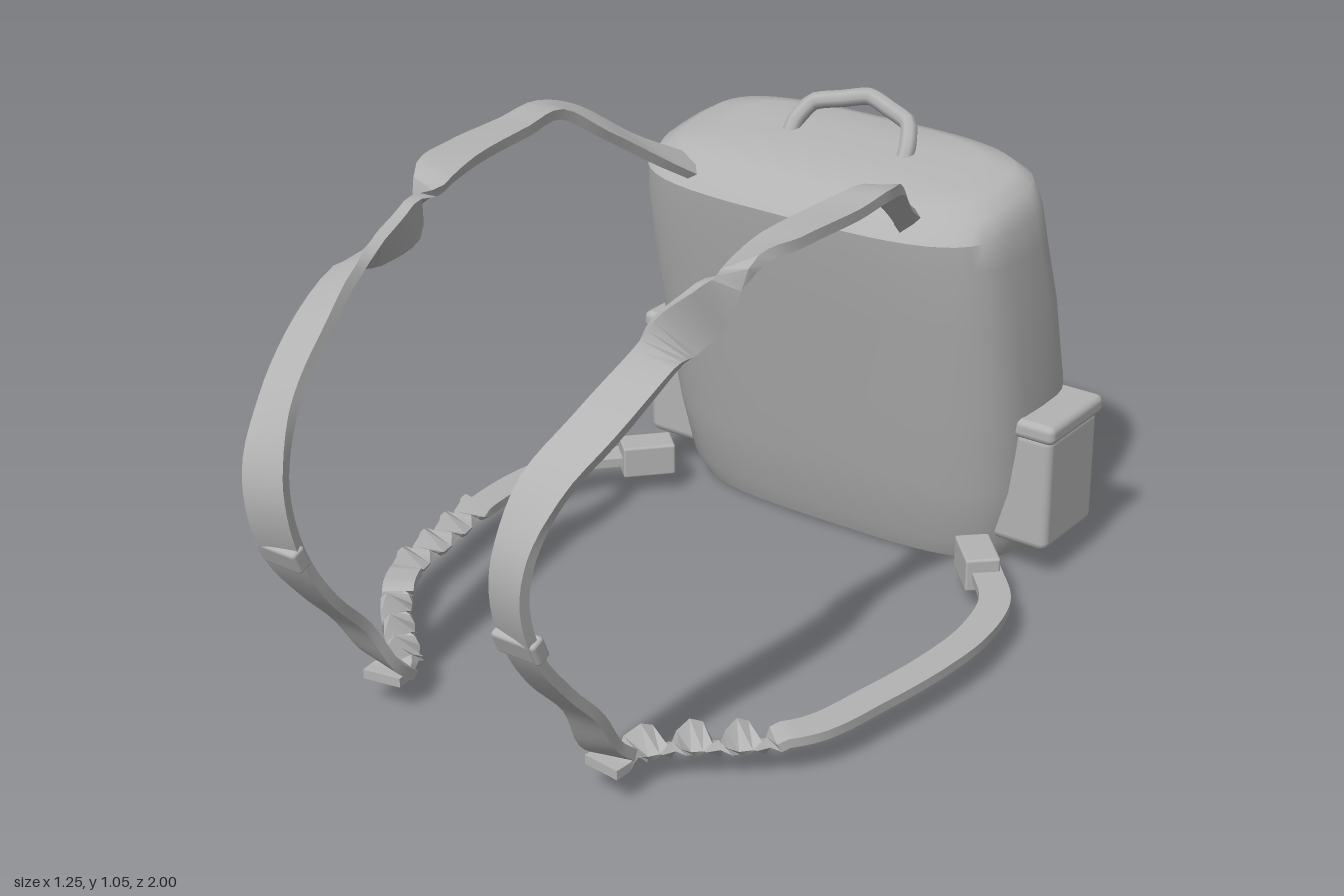
import * as THREE from 'three';
import { toCreasedNormals } from 'three/addons/utils/BufferGeometryUtils.js';
import { RoundedBoxGeometry } from 'three/addons/geometries/RoundedBoxGeometry.js';

const V = (x, y, z) => new THREE.Vector3(x, y, z);

// Skin a list of rings (counter-clockwise about the direction of travel), closed by fans
function loft(rings, crease) {
  const n = rings[0].length, pos = [], idx = [];
  rings.forEach(r => r.forEach(p => pos.push(p.x, p.y, p.z)));
  for (let i = 0; i < rings.length - 1; i++) {
    for (let j = 0; j < n; j++) {
      const k = (j + 1) % n, a = i * n + j, b = i * n + k, c = b + n, d = a + n;
      idx.push(a, b, c, a, c, d);
    }
  }
  [0, rings.length - 1].forEach((i, end) => {
    const m = V(0, 0, 0);
    rings[i].forEach(p => m.addScaledVector(p, 1 / n));
    const c = pos.length / 3;
    pos.push(m.x, m.y, m.z);
    for (let j = 0; j < n; j++) {
      const a = i * n + j, b = i * n + (j + 1) % n;
      if (end) idx.push(c, a, b); else idx.push(c, b, a);
    }
  });
  const g = new THREE.BufferGeometry();
  g.setAttribute('position', new THREE.Float32BufferAttribute(pos, 3));
  g.setIndex(idx);
  return toCreasedNormals(g, crease);
}

// Soft bag from rows of [y, zFront, zBack, halfWidth, tilt]
function bag(rows, power) {
  const soft = v => Math.sign(v) * Math.pow(Math.abs(v), 2 / power);
  return loft(rows.map(([y, zf, zb, w, tilt = 0]) => {
    const ring = [];
    for (let j = 0; j < 48; j++) {
      const a = j / 48 * Math.PI * 2, dz = (zf - zb) / 2 * soft(Math.cos(a));
      ring.push(V(w * soft(Math.sin(a)), y - tilt * dz, (zf + zb) / 2 + dz));
    }
    return ring;
  }), 0.65);
}

// Flat strap through points with a half-width vector at each
function ribbon(points, widths, thick) {
  const rings = points.map((p, i) => {
    const t = points[Math.min(i + 1, points.length - 1)].clone()
      .sub(points[Math.max(i - 1, 0)]).normalize();
    const w = widths[i];
    const n = t.clone().cross(w).normalize().multiplyScalar(thick / 2);
    return [[1, -1], [1, 1], [-1, 1], [-1, -1]].map(([a, b]) =>
      p.clone().addScaledVector(w, a).addScaledVector(n, b));
  });
  return loft(rings, 0.6);
}

export function createModel() {
  const model = new THREE.Group();
  model.name = 'backpack';
  const fabric = new THREE.MeshStandardMaterial({ color: 0xb3b3b3 });
  fabric.name = 'grey fabric';

  const add = (name, geometry, x = 0, y = 0, z = 0) => {
    const m = new THREE.Mesh(geometry, fabric);
    m.name = name;
    m.position.set(x, y, z);
    model.add(m);
    return m;
  };
  const box = (name, w, h, d, r, x, y, z) =>
    add(name, new RoundedBoxGeometry(w, h, d, 2, r), x, y, z);
  const tube = (name, pts, r) => {
    const c = new THREE.CatmullRomCurve3(pts.map(p => V(...p)), false, 'catmullrom', 0.3);
    return add(name, new THREE.TubeGeometry(c, 28, r, 8));
  };

  // Main bag, leaning towards the wearer
  add('body', bag([
    [0.005, -0.49, -0.80, 0.36], [0.012, -0.46, -0.83, 0.41], [0.06, -0.44, -0.845, 0.437],
    [0.2, -0.405, -0.84, 0.455], [0.4, -0.36, -0.80, 0.462], [0.6, -0.315, -0.755, 0.46],
    [0.75, -0.28, -0.715, 0.45], [0.82, -0.27, -0.70, 0.442, 0.06],
    [0.865, -0.30, -0.685, 0.42, 0.12], [0.888, -0.33, -0.66, 0.38, 0.15],
    [0.9, -0.37, -0.63, 0.3, 0.15], [0.905, -0.44, -0.56, 0.16, 0.15],
  ], 3.4));

  // Rear pocket
  add('rearPocket', bag([
    [0.058, -0.80, -0.91, 0.27], [0.065, -0.78, -0.945, 0.31], [0.1, -0.77, -0.968, 0.335],
    [0.2, -0.76, -0.972, 0.345], [0.32, -0.74, -0.955, 0.345], [0.4, -0.73, -0.93, 0.335],
    [0.44, -0.73, -0.905, 0.315, 0.1], [0.46, -0.74, -0.88, 0.28, 0.1],
    [0.465, -0.76, -0.85, 0.2, 0.1],
  ], 3.4));

  // Zips, pull tabs and patch
  tube('pocketZip', [[-0.29, 0.37, -0.9], [-0.15, 0.395, -0.926], [0, 0.405, -0.934],
    [0.15, 0.395, -0.926], [0.29, 0.37, -0.9]], 0.013);
  tube('mainZip', [[-0.26, 0.745, -0.69], [-0.14, 0.785, -0.706], [0, 0.8, -0.706],
    [0.14, 0.785, -0.706], [0.26, 0.745, -0.69]], 0.013);
  box('pocketZipPull', 0.045, 0.095, 0.038, 0.006, 0, 0.352, -0.968).rotation.x = 0.35;
  box('mainZipPull', 0.045, 0.085, 0.04, 0.006, 0.07, 0.74, -0.75).rotation.x = 0.35;
  box('patch', 0.17, 0.11, 0.06, 0.012, 0, 0.6, -0.768);

  // Carry handle
  tube('handle', [[-0.145, 0.89, -0.5], [-0.142, 0.92, -0.52], [-0.12, 0.955, -0.555],
    [-0.06, 0.967, -0.578], [0, 0.98, -0.592], [0.06, 0.967, -0.578],
    [0.12, 0.955, -0.555], [0.142, 0.92, -0.52], [0.145, 0.89, -0.5]], 0.019);

  // Shoulder strap: position, then half-width vector
  const shoulder = [
    [0.27, 0.84, -0.32, 0.03, 0.03, 0.01], [0.32, 0.9, -0.22, 0.03, 0.03, 0.02],
    [0.37, 0.985, -0.1, 0.03, 0.025, 0.01], [0.4, 1.035, 0, 0.033, 0.003, 0],
    [0.395, 1.033, 0.12, 0.04, 0, 0], [0.385, 1.03, 0.3, 0.042, 0.004, 0],
    [0.375, 1.015, 0.4, 0.035, 0.015, 0], [0.355, 0.955, 0.48, 0.012, -0.045, -0.02],
    [0.35, 0.93, 0.58, 0.025, -0.04, -0.02], [0.36, 0.91, 0.66, 0.038, -0.012, -0.01],
    [0.34, 0.83, 0.8, 0.045, -0.01, 0], [0.31, 0.75, 0.91, 0.044, -0.01, 0],
    [0.295, 0.65, 0.97, 0.043, 0, 0.008], [0.286, 0.56, 0.98, 0.043, 0, 0.01],
    [0.283, 0.44, 0.945, 0.044, 0, 0.008], [0.282, 0.33, 0.87, 0.044, 0, 0],
    [0.285, 0.23, 0.78, 0.042, 0, 0], [0.275, 0.13, 0.72, 0.046, 0.01, 0],
    [0.275, 0.085, 0.67, 0.045, 0.01, 0],
  ];

  [1, -1].forEach(s => {
    const side = s > 0 ? 'left' : 'right';
    const pick = o => new THREE.CatmullRomCurve3(
      shoulder.map(r => V(s * r[o], r[o + 1], r[o + 2])));
    const steps = (shoulder.length - 1) * 4;
    const along = o => { // uniform parameter keeps widths in step with positions
      const c = pick(o);
      return Array.from({ length: steps + 1 }, (_, i) => c.getPoint(i / steps));
    };
    add(side + 'ShoulderStrap', ribbon(along(0), along(3), 0.022));
    box(side + 'Buckle', 0.1, 0.052, 0.034, 0.008, s * 0.285, 0.457, 0.953).rotation.x = 0.4;

    // Lower strap, twisted and crinkled where it hangs slack
    const plan = s > 0
      ? [[0.275, 0.72], [0.285, 0.64], [0.35, 0.56], [0.44, 0.49], [0.525, 0.39], [0.565, 0.22],
        [0.59, 0.05], [0.593, -0.1], [0.56, -0.24], [0.49, -0.33], [0.41, -0.41]]
      : [[0.275, 0.72], [0.29, 0.64], [0.37, 0.56], [0.45, 0.48], [0.52, 0.37], [0.555, 0.2],
        [0.58, 0.08], [0.59, -0.1], [0.56, -0.24], [0.49, -0.33], [0.41, -0.41]];
    const curve = new THREE.CatmullRomCurve3(plan.map(([x, z]) => V(s * x, 0.085, z)));
    const pts = [], widths = [];
    for (let i = 0; i <= 72; i++) {
      const p = curve.getPointAt(i / 72), t = curve.getTangentAt(i / 72);
      const slack = (p.z > 0.44 && p.z < 0.67) || (s < 0 && p.z > 0.08 && p.z < 0.36);
      const wave = slack ? Math.sin(i * Math.PI / 2.5) : 0;
      p.y += 0.014 * wave - (p.z > 0.44 ? 0.008 : 0);
      pts.push(p);
      const hw = p.z > 0.62 ? 0.042 : 0.033, roll = 0.8 * wave;
      widths.push(V(t.z * Math.cos(roll), Math.sin(roll), -t.x * Math.cos(roll)).multiplyScalar(hw));
    }
    add(side + 'LowerStrap', ribbon(pts, widths, 0.02));
    box(side + 'StrapAnchor', 0.075, 0.075, 0.12, 0.006, s * 0.44, 0.087, -0.37)
      .rotation.y = s * 0.75;

    // Side pocket with its hem
    box(side + 'SidePocket', 0.17, 0.27, 0.21, 0.02, s * 0.445, 0.212, -0.605);
    box(side + 'SidePocketHem', 0.18, 0.044, 0.226, 0.016, s * 0.45, 0.358, -0.603);
  });

  return model;
}
